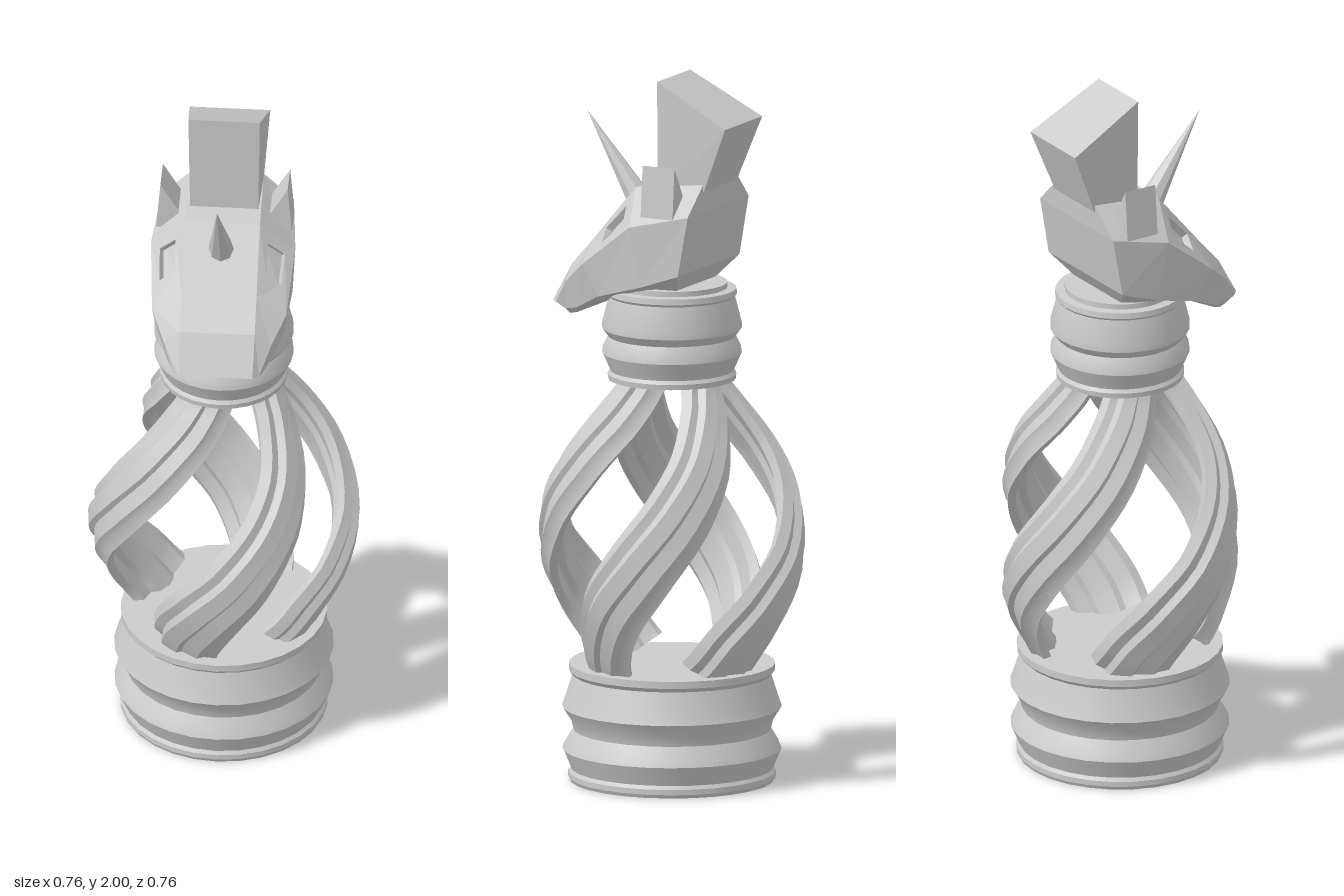
import * as THREE from 'three';
import { toCreasedNormals } from 'three/addons/utils/BufferGeometryUtils.js';

const mat = new THREE.MeshStandardMaterial({ color: 0xcccccc });
const flat = new THREE.MeshStandardMaterial({ color: 0xcccccc, flatShading: true });

function add(parent, name, geometry, material = mat) {
  const mesh = new THREE.Mesh(geometry, material);
  mesh.name = name;
  parent.add(mesh);
  return mesh;
}

// Turned, ribbed drum from [radius, y] pairs
function turned(profile) {
  const geo = new THREE.LatheGeometry(profile.map(([r, y]) => new THREE.Vector2(r, y)), 28);
  return toCreasedNormals(geo, 0.4);
}

// Four-cornered face, optionally with a sunken rectangular pocket
function quad(out, a, b, c, d) {
  for (const p of [a, b, c, a, c, d]) out.push(p.x, p.y, p.z);
}
function pocketQuad(out, a, b, c, d, depth) {
  const at = (u, v) => a.clone().lerp(d, u).lerp(b.clone().lerp(c, u), v);
  const normal = b.clone().sub(a).cross(c.clone().sub(a)).normalize();
  const outer = [a, b, c, d];
  const inner = [at(0.26, 0.18), at(0.26, 0.64), at(0.74, 0.64), at(0.74, 0.18)];
  const floor = inner.map(p => p.clone().addScaledVector(normal, -depth));
  for (let i = 0; i < 4; i++) {
    const k = (i + 1) % 4;
    quad(out, outer[i], outer[k], inner[k], inner[i]);
    quad(out, inner[i], inner[k], floor[k], floor[i]);
  }
  quad(out, ...floor);
}

// Symmetric faceted solid: each section lists its +x points from top to bottom, back section first
function loft(sections, isPocket = () => false) {
  const n = sections[0].length;
  const rings = sections.map(half => {
    const right = half.map(p => new THREE.Vector3(...p));
    return right.concat([...right].reverse().map(p => new THREE.Vector3(-p.x, p.y, p.z)));
  });
  const out = [];
  for (let s = 0; s < rings.length - 1; s++) {
    for (let j = 0; j < 2 * n; j++) {
      const k = (j + 1) % (2 * n);
      const corners = [rings[s][j], rings[s + 1][j], rings[s + 1][k], rings[s][k]];
      if (isPocket(s, j)) pocketQuad(out, ...corners, 0.02);
      else quad(out, ...corners);
    }
  }
  const back = rings[0], front = rings[rings.length - 1];
  for (let j = 0; j < n - 1; j++) {
    const m = 2 * n - 1 - j;
    quad(out, back[j], back[j + 1], back[m - 1], back[m]);
    quad(out, front[m], front[m - 1], front[j + 1], front[j]);
  }
  const geo = new THREE.BufferGeometry();
  geo.setAttribute('position', new THREE.Float32BufferAttribute(out, 3));
  geo.computeVertexNormals();
  return geo;
}

// Grooved ribbon that bulges outward while it winds around the axis
function strandGeometry() {
  // Path stations: height, radius, angle in degrees
  const path = new THREE.CatmullRomCurve3([
    [0.32, 0.21, -30], [0.4, 0.255, -21], [0.52, 0.315, -6], [0.65, 0.342, 11], [0.8, 0.318, 30],
    [0.93, 0.26, 46], [1.05, 0.18, 61], [1.11, 0.14, 69], [1.17, 0.11, 78],
  ].map(([y, r, deg]) => {
    const t = THREE.MathUtils.degToRad(deg);
    return new THREE.Vector3(r * Math.sin(t), y, r * Math.cos(t));
  }));
  // Section: across the ribbon, then outward
  const section = [
    [-1, 0], [-0.82, 0.6], [-0.55, 0.5], [-0.42, 1], [0.05, 1], [0.15, 0.65], [0.6, 0.75], [0.72, 0.35],
    [1, 0.1], [0.85, -0.5], [0.5, -0.45], [0.35, -0.9], [-0.2, -0.9], [-0.35, -0.55], [-0.8, -0.6],
  ];
  const steps = 30, m = section.length, pos = [], idx = [];
  for (let i = 0; i <= steps; i++) {
    const u = i / steps;
    const p = path.getPoint(u), tangent = path.getTangent(u);
    const normal = new THREE.Vector3(p.x, 0, p.z).normalize();
    normal.addScaledVector(tangent, -normal.dot(tangent)).normalize();
    const side = tangent.clone().cross(normal);
    const w = 0.108 - 0.038 * u * u, h = 0.038;
    for (const [s, n] of section) {
      const q = p.clone().addScaledVector(side, s * w).addScaledVector(normal, (n - 0.35 * s * s) * h);
      pos.push(q.x, q.y, q.z);
    }
  }
  for (let i = 0; i < steps; i++) {
    for (let j = 0; j < m; j++) {
      const k = (j + 1) % m, a = i * m, b = a + m;
      idx.push(a + j, a + k, b + k, a + j, b + k, b + j);
    }
  }
  const geo = new THREE.BufferGeometry();
  geo.setAttribute('position', new THREE.Float32BufferAttribute(pos, 3));
  geo.setIndex(idx);
  return toCreasedNormals(geo, 0.5);
}

export function createModel() {
  const model = new THREE.Group();
  model.name = 'chessPiece';

  // Ribbed base and collar
  add(model, 'base', turned([
    [0, 0], [0.285, 0], [0.29, 0.01], [0.29, 0.025], [0.283, 0.035], [0.306, 0.09], [0.3, 0.105], [0.276, 0.145],
    [0.282, 0.17], [0.307, 0.21], [0.298, 0.235], [0.277, 0.3], [0.288, 0.312], [0.288, 0.332], [0, 0.335],
  ]));
  add(model, 'collar', turned([
    [0, 1.14], [0.178, 1.14], [0.18, 1.155], [0.173, 1.165], [0.195, 1.215], [0.192, 1.235], [0.178, 1.262],
    [0.195, 1.285], [0.195, 1.3], [0.176, 1.375], [0.182, 1.382], [0.18, 1.398], [0.155, 1.4], [0.155, 1.415], [0, 1.415],
  ]));

  // Four twisted strands, their ends buried in the base and collar
  const strand = strandGeometry();
  for (let i = 0; i < 4; i++) add(model, 'strand', strand).rotation.y = i * Math.PI / 2;

  // Faceted head with sunken eye sockets
  const head = new THREE.Group();
  head.name = 'head';
  model.add(head);
  add(head, 'skull', loft([
    [[0.1, 1.72, -0.15], [0.185, 1.64, -0.145], [0.187, 1.47, -0.115], [0.1, 1.4, -0.065]],
    [[0.105, 1.695, 0.06], [0.202, 1.6, 0.03], [0.192, 1.43, 0.0], [0.1, 1.39, 0.03]],
    [[0.105, 1.54, 0.19], [0.188, 1.48, 0.185], [0.18, 1.39, 0.14], [0.1, 1.37, 0.14]],
    [[0.105, 1.46, 0.26], [0.15, 1.42, 0.255], [0.145, 1.345, 0.225], [0.11, 1.325, 0.24]],
    [[0.103, 1.352, 0.32], [0.12, 1.35, 0.303], [0.125, 1.335, 0.27], [0.11, 1.32, 0.262]],
  ], (s, j) => s === 1 && (j === 0 || j === 6)), flat);

  // Flared block mane
  add(head, 'mane', loft([
    [[0.113, 1.885, -0.225], [0.1, 1.7, -0.152]],
    [[0.1, 2, -0.005], [0.095, 1.68, -0.005]],
  ]), flat);

  // Wedge ears
  for (const side of [1, -1]) {
    const shape = new THREE.Shape([[0.19, 1.63], [0.178, 1.775], [0.128, 1.69], [0.128, 1.63]]
      .map(([x, y]) => new THREE.Vector2(side * x, y)));
    const ear = add(head, side > 0 ? 'leftEar' : 'rightEar',
      new THREE.ExtrudeGeometry(shape, { depth: 0.1, bevelEnabled: false }), flat);
    ear.position.z = -0.1;
  }

  // Horn leaning forward from the brow
  const root = new THREE.Vector3(0, 1.63, 0.096), tip = new THREE.Vector3(0, 1.88, 0.267);
  const axis = tip.clone().sub(root);
  const horn = add(head, 'horn', new THREE.ConeGeometry(0.037, axis.length(), 8), flat);
  horn.position.copy(root).add(tip).multiplyScalar(0.5);
  horn.quaternion.setFromUnitVectors(new THREE.Vector3(0, 1, 0), axis.normalize());

  return model;
}
